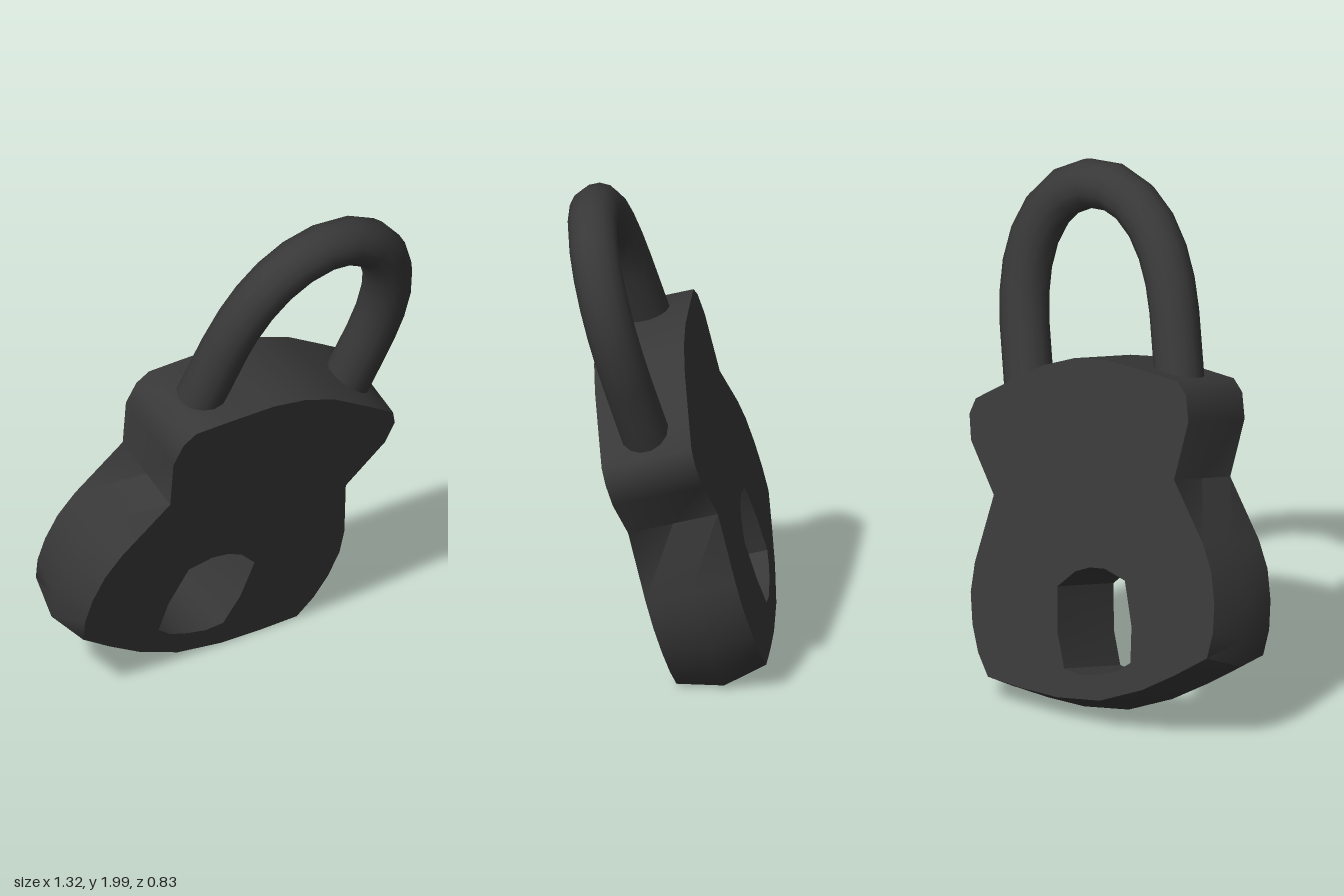
import * as THREE from 'three';
import { toCreasedNormals } from 'three/addons/utils/BufferGeometryUtils.js';

const THICKNESS = 0.351;

// Mirror a right-hand half profile (bottom to top) into a closed outline
function mirrored(half) {
  const right = half.map(([x, y]) => new THREE.Vector2(x, y));
  const left = half.slice(1, -1).reverse().map(([x, y]) => new THREE.Vector2(-x, y));
  return [...right, ...left];
}

function bodyGeometry() {
  const shape = new THREE.Shape(mirrored([
    [0, -0.018], [0.2, 0.008], [0.36, 0.053], [0.519, 0.107], [0.556, 0.2],
    [0.573, 0.31], [0.57, 0.43], [0.54, 0.54], [0.427, 0.787], [0.515, 1.0],
    [0.513, 1.1], [0.478, 1.155], [0.34, 1.2], [0.15, 1.258], [0, 1.275],
  ]));
  shape.holes.push(new THREE.Path(mirrored([
    [0, 0.08], [0.085, 0.085], [0.157, 0.114], [0.175, 0.25],
    [0.16, 0.424], [0.07, 0.475], [0, 0.485],
  ])));
  const geo = new THREE.ExtrudeGeometry(shape, { depth: THICKNESS, steps: 2, bevelEnabled: false });

  // Swell the lower outer wall at mid-thickness
  const p = geo.attributes.position;
  for (let i = 0; i < p.count; i++) {
    const x = p.getX(i), y = p.getY(i), z = p.getZ(i);
    const inHole = Math.abs(x) < 0.18 && y > 0.07 && y < 0.5;
    if (inHole || Math.abs(z - THICKNESS / 2) > 0.01) continue;
    const w = THREE.MathUtils.clamp((0.75 - y) / 0.5, 0, 1);
    p.setXY(i, x * (1 + 0.04 * w), y - 0.04 * w * THREE.MathUtils.clamp((0.4 - y) / 0.3, 0, 1));
  }
  return toCreasedNormals(geo, 0.85);
}

function shackleGeometry() {
  const half = [[0.355, 1.08], [0.355, 1.3], [0.35, 1.5], [0.32, 1.65], [0.265, 1.77], [0.155, 1.885]];
  const z = THICKNESS / 2;
  const points = [
    ...half.map(([x, y]) => new THREE.Vector3(-x, y, z)),
    new THREE.Vector3(0, 1.93, z),
    ...half.slice().reverse().map(([x, y]) => new THREE.Vector3(x, y, z)),
  ];
  return new THREE.TubeGeometry(new THREE.CatmullRomCurve3(points), 18, 0.094, 14);
}

export function createModel() {
  const model = new THREE.Group();
  model.name = 'padlock';
  const material = new THREE.MeshStandardMaterial({ color: 0x383838 });

  const body = new THREE.Mesh(bodyGeometry(), material);
  body.name = 'lockBody';
  const shackle = new THREE.Mesh(shackleGeometry(), material);
  shackle.name = 'shackle';

  // The whole lock leans forward and to its left
  const tilted = new THREE.Group();
  tilted.name = 'tiltedLock';
  const across = new THREE.Vector3(0.956, -0.281, 0.082).normalize();
  const facing = new THREE.Vector3(-0.157, -0.256, 0.954).normalize();
  const up = facing.clone().cross(across).normalize();
  across.crossVectors(up, facing);
  tilted.quaternion.setFromRotationMatrix(new THREE.Matrix4().makeBasis(across, up, facing));
  tilted.position.set(-0.115, 0.14, -0.418);
  tilted.add(body, shackle);
  model.add(tilted);
  return model;
}
